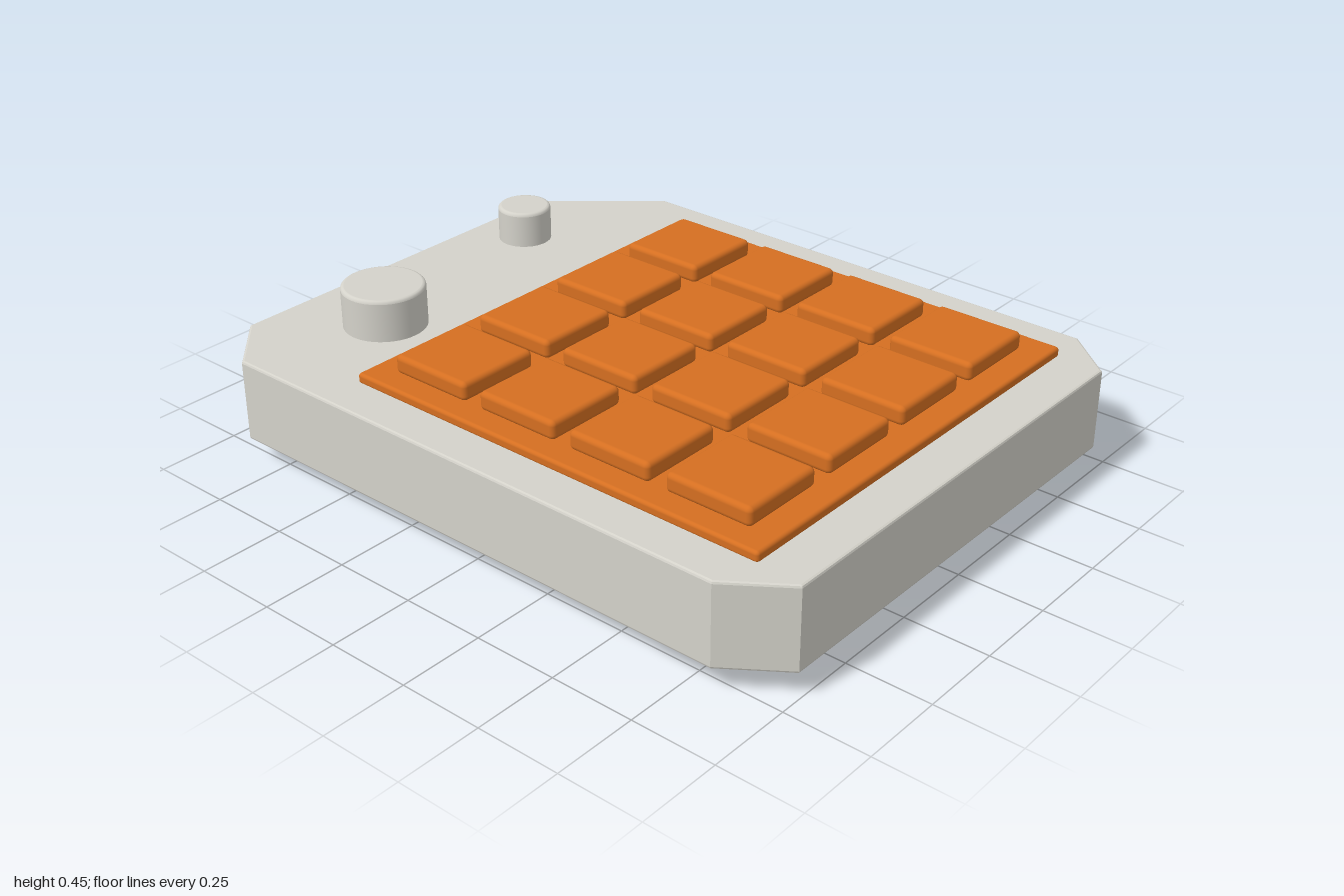
import * as THREE from 'three';
import { RoundedBoxGeometry } from 'three/addons/geometries/RoundedBoxGeometry.js';

export function createModel() {
  const model = new THREE.Group();
  const gray = new THREE.MeshStandardMaterial({ name: 'warmGray', color: 0xd4d2ca });
  const orange = new THREE.MeshStandardMaterial({ name: 'orange', color: 0xd56f21 });

  const add = (name, geometry, material, x = 0, y = 0, z = 0) => {
    const mesh = new THREE.Mesh(geometry, material);
    mesh.name = name;
    mesh.position.set(x, y, z);
    model.add(mesh);
    return mesh;
  };

  // Case: slab with four unequal cut corners, outline given as (x, z)
  const outline = [
    [-0.69, 1], [0.68, 1], [0.81, 0.85], [0.81, -0.68],
    [0.54, -1], [-0.65, -1], [-0.81, -0.84], [-0.81, 0.83],
  ];
  const bottom = 0.075, top = 0.322, bevel = 0.007;
  const shape = new THREE.Shape(outline.map(([x, z]) => new THREE.Vector2(x, -z)));
  const caseGeometry = new THREE.ExtrudeGeometry(shape, {
    depth: top - bottom - 2 * bevel,
    bevelThickness: bevel, bevelSize: bevel, bevelOffset: -bevel, bevelSegments: 2,
  });
  caseGeometry.rotateX(-Math.PI / 2);
  add('case', caseGeometry, gray, 0, bottom + bevel, 0);

  // Key panel and its 4 x 4 keys
  add('keyPanel', new RoundedBoxGeometry(1.364, 0.032, 1.37, 3, 0.01), orange, 0, 0.333, 0.179);
  const keyGeometry = new RoundedBoxGeometry(0.262, 0.056, 0.265, 3, 0.015);
  for (let row = 0; row < 4; row++) {
    for (let col = 0; col < 4; col++) {
      add(`key${row + 1}_${col + 1}`, keyGeometry, orange,
        -0.479 + col * 0.3175, 0.373, -0.3 + row * 0.3175);
    }
  }

  // Knobs: cylinders with a small rounded rim
  const knob = (name, r, yTop, x, z) => {
    const h = yTop - top + 0.01, b = 0.01;
    const points = [new THREE.Vector2(r, 0), new THREE.Vector2(r, h - b)];
    for (let i = 0; i <= 3; i++) {
      const a = (i / 3) * Math.PI / 2;
      points.push(new THREE.Vector2(r - b + b * Math.cos(a), h - b + b * Math.sin(a)));
    }
    points.push(new THREE.Vector2(r - b - 0.001, h), new THREE.Vector2(0, h));
    add(name, new THREE.LatheGeometry(points, 48), gray, x, top - 0.01, z);
  };
  knob('largeKnob', 0.122, 0.448, -0.39, -0.712);
  knob('smallKnob', 0.081, 0.431, 0.308, -0.828);

  // Flattened ball feet
  const footGeometry = new THREE.SphereGeometry(0.068, 32, 20);
  footGeometry.scale(1, 0.8, 1);
  for (const x of [-0.59, 0.587]) {
    for (const z of [0.778, -0.763]) add('foot', footGeometry, gray, x, 0.0544, z);
  }
  return model;
}
